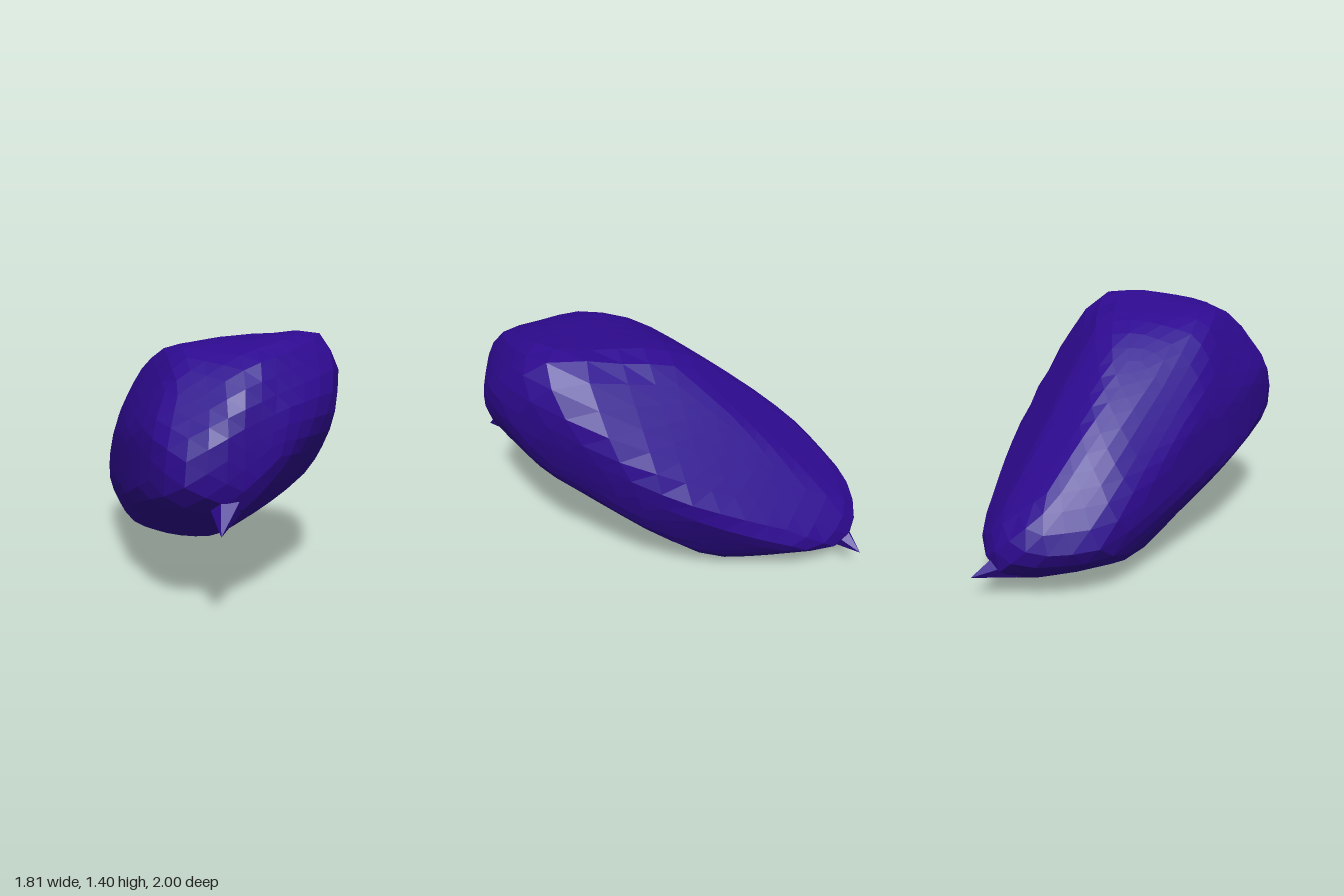
import * as THREE from 'three';

const V = (x, y, z) => new THREE.Vector3(x, y, z);
const CENTRE = V(0, 0.71, 0);

// Closed profile through a few points, on a plane turned by two angles in degrees
function profile(turn, tilt, points) {
  const a = THREE.MathUtils.degToRad(turn), b = THREE.MathUtils.degToRad(tilt);
  const right = V(Math.cos(a), 0, -Math.sin(a));
  const up = V(Math.sin(a) * Math.cos(b), Math.sin(b), Math.cos(a) * Math.cos(b)).cross(right);
  const curve = new THREE.CatmullRomCurve3(points.map(([u, v]) => V(u, v, 0)), true, 'catmullrom', 0.35);
  return { right, up, pts: curve.getPoints(points.length * 5).slice(0, -1) };
}

const profiles = [
  // lengthwise
  profile(0, 0, [[0.9, 0.29], [0.86, 0.54], [0.7, 0.71], [0.56, 0.675], [-0.05, 0.58], [-0.65, 0.08],
    [-0.91, -0.36], [-0.87, -0.55], [-0.6, -0.71], [0, -0.625], [0.63, -0.19]]),
  // sideways
  profile(90, 0, [[-1, 0.12], [-0.84, 0.38], [-0.6, 0.61], [0.07, 0.72], [0.2, 0.57], [0.46, 0.23],
    [0.93, -0.43], [0.88, -0.62], [0.55, -0.71], [0.12, -0.67], [-0.47, -0.35], [-0.95, -0.15]]),
  // plan
  profile(0, 90, [[0.9, -0.2], [0.65, 0.39], [0.05, 0.81], [-0.45, 0.96], [-0.83, 0.83], [-0.91, 0.35],
    [-0.2, -0.53], [0.2, -0.88], [0.48, -1.01], [0.78, -0.74]]),
  // along the body
  profile(35, 22.3, [[0.6, 0.53], [0.72, 0.28], [0.57, -0.21], [0.03, -0.56], [-0.4, -0.41],
    [-0.56, -0.02], [-0.33, 0.38], [-0.05, 0.55], [0.26, 0.58], [0.44, 0.52]]),
  // flat upper back
  profile(215, 22.3, [[-0.69, 0.77], [-0.16, 0.9], [0.16, 0.82], [0.43, 0.36], [0.56, -0.31], [0.53, -0.72],
    [0.19, -1], [-0.25, -0.76], [-0.59, -0.23], [-0.74, 0.36]]),
  // across the body
  profile(145, -22.3, [[-0.48, 0.88], [0, 0.64], [0.35, 0.38], [1.12, -0.23], [1.12, -0.42], [0.49, -0.66],
    [-0.32, -0.41], [-0.92, -0.28], [-1.05, -0.09], [-1.01, 0.31], [-0.82, 0.61]]),
];

// How far a ray from the centre goes before it leaves a profile
function reach({ pts, right, up }, ray) {
  const u = ray.dot(right), v = ray.dot(up);
  let best = 0;
  pts.forEach((a, i) => {
    const b = pts[(i + 1) % pts.length];
    const ex = b.x - a.x, ey = b.y - a.y, den = u * ey - v * ex;
    if (Math.abs(den) < 1e-9) return;
    const t = (a.x * ey - a.y * ex) / den, s = (a.x * v - a.y * u) / den;
    if (t > 0 && s >= -1e-6 && s <= 1 + 1e-6) best = Math.max(best, t);
  });
  return best || Infinity;
}

// Directions are spread along the long axis so that the facets stay even
const LONG = V(0.65, 0.31, 0.7).normalize();
const spread = (e) => e.clone().addScaledVector(LONG, 0.85 * e.dot(LONG));
const distance = (e) => Math.min(...profiles.map((p) => reach(p, spread(e))));

// Surface point: the tightest profile wins, averaged over a small patch to round the edges
function surfacePoint(e) {
  const side = V(0.31, 0.87, -0.38).cross(e).normalize();
  const other = e.clone().cross(side);
  let sum = 2 * distance(e);
  for (let k = 0; k < 6; k++) {
    const a = (k * Math.PI) / 3;
    const near = e.clone().addScaledVector(side, 0.09 * Math.cos(a)).addScaledVector(other, 0.09 * Math.sin(a));
    sum += distance(near.normalize());
  }
  return spread(e).multiplyScalar(sum / 8).add(CENTRE);
}

function bodyGeometry() {
  const geo = new THREE.IcosahedronGeometry(1, 7);
  const pos = geo.attributes.position;
  for (let i = 0; i < pos.count; i++) {
    const p = surfacePoint(V(0, 0, 0).fromBufferAttribute(pos, i).normalize());
    pos.setXYZ(i, p.x, p.y, p.z);
  }
  geo.computeVertexNormals();
  return geo;
}

// Small pointed spike from a base point to a tip
function spike(name, base, tip, radius, material) {
  const axis = tip.clone().sub(base);
  const mesh = new THREE.Mesh(new THREE.ConeGeometry(radius, axis.length(), 5), material);
  mesh.name = name;
  mesh.position.copy(base).addScaledVector(axis, 0.5);
  mesh.quaternion.setFromUnitVectors(V(0, 1, 0), axis.normalize());
  return mesh;
}

export function createModel() {
  const material = new THREE.MeshStandardMaterial({ color: 0x2e0a90, flatShading: true });
  const group = new THREE.Group();
  group.name = 'bean';
  const body = new THREE.Mesh(bodyGeometry(), material);
  body.name = 'body';
  group.add(
    body,
    spike('frontSpike', V(0.58, 0.66, 0.74), V(0.67, 0.52, 0.97), 0.12, material),
    spike('backSpike', V(-0.69, 0.2, -0.78), V(-0.72, 0.13, -1), 0.1, material),
  );
  return group;
}
